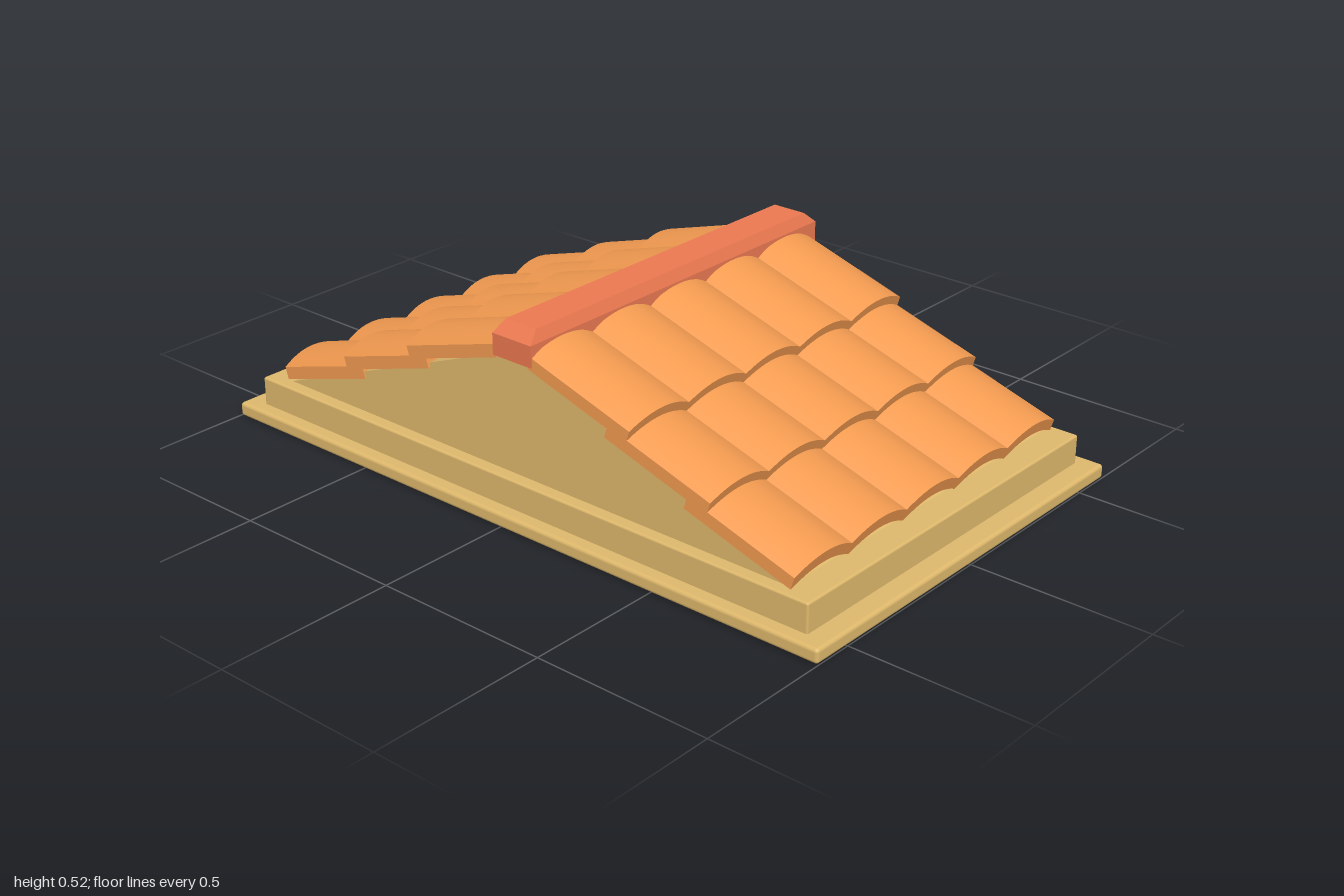
import * as THREE from 'three';
import { toCreasedNormals } from 'three/addons/utils/BufferGeometryUtils.js';
import { RoundedBoxGeometry } from 'three/addons/geometries/RoundedBoxGeometry.js';

const mat = (color) => new THREE.MeshStandardMaterial({ color });

export function createModel() {
  const model = new THREE.Group();
  model.name = 'tiledGableRoof';
  const plaster = mat(0xdeb86c);
  const clay = mat(0xf29a50);
  const ridgeClay = mat(0xea7850);

  const add = (parent, name, geometry, material) => {
    const mesh = new THREE.Mesh(geometry, material);
    mesh.name = name;
    parent.add(mesh);
    return mesh;
  };

  // Stepped base: wide slab with a narrower plinth on top
  add(model, 'baseSlab', new RoundedBoxGeometry(2, 0.04, 1.23, 3, 0.01), plaster).position.y = 0.02;
  add(model, 'plinth', new RoundedBoxGeometry(1.88, 0.1, 1.15, 3, 0.006), plaster).position.y = 0.07;

  // Gable block filling the space under the tiles
  const gable = new THREE.Shape([
    new THREE.Vector2(-0.87, 0.115),
    new THREE.Vector2(0.87, 0.115),
    new THREE.Vector2(0.05, 0.44),
    new THREE.Vector2(-0.05, 0.44),
  ]);
  const gableDepth = 1.08;
  add(model, 'gable', new THREE.ExtrudeGeometry(gable, { depth: gableDepth, bevelEnabled: false }), plaster)
    .position.z = -gableDepth / 2;

  // Scalloped cross-section of one course: five arched tiles side by side
  const tiles = 5, steps = 14, half = 0.55, thickness = 0.035, rise = 0.03;
  const lower = [];
  for (let i = 0; i <= tiles * steps; i++) {
    const u = (i % steps) / steps * 2 - 1;
    lower.push(new THREE.Vector2(-half + (2 * half * i) / (tiles * steps), rise * (1 - u * u)));
  }
  const upper = lower.map((p) => new THREE.Vector2(p.x, p.y + thickness)).reverse();
  const courseGeometry = toCreasedNormals(
    new THREE.ExtrudeGeometry(new THREE.Shape([...lower, ...upper]), { depth: 0.335, bevelEnabled: false }),
    0.4
  );

  // Lay the section across the slope, extruding uphill
  const pitch = Math.atan(0.307);
  const s = Math.sin(pitch), c = Math.cos(pitch);
  courseGeometry.applyMatrix4(new THREE.Matrix4().makeBasis(
    new THREE.Vector3(0, 0, 1), new THREE.Vector3(s, c, 0), new THREE.Vector3(-c, s, 0)
  ));

  // Three overlapping courses per slope; the right slope sits slightly askew
  for (const [name, turn] of [['leftSlope', 0], ['rightSlope', Math.PI - 0.013]]) {
    const slope = new THREE.Group();
    slope.name = name;
    slope.rotation.y = turn;
    for (let i = 0; i < 3; i++) {
      add(slope, `tileCourse${i + 1}`, courseGeometry, clay).position.set(0.87 - 0.25 * i, 0.12 + 0.105 * i, 0);
    }
    model.add(slope);
  }

  // Ridge cap: a beam whose top edges are chamfered all round
  const ridge = new THREE.BoxGeometry(0.13, 0.09, 1.135, 1, 2, 1);
  const pos = ridge.attributes.position;
  for (let i = 0; i < pos.count; i++) {
    const y = pos.getY(i);
    if (y > 0.03) {
      pos.setX(i, pos.getX(i) - Math.sign(pos.getX(i)) * 0.014);
      pos.setZ(i, pos.getZ(i) - Math.sign(pos.getZ(i)) * 0.035);
    } else if (y > -0.03) {
      pos.setY(i, 0.014);
    }
  }
  add(model, 'ridgeCap', toCreasedNormals(ridge, 0.2), ridgeClay).position.set(0, 0.48, -0.014);

  return model;
}
